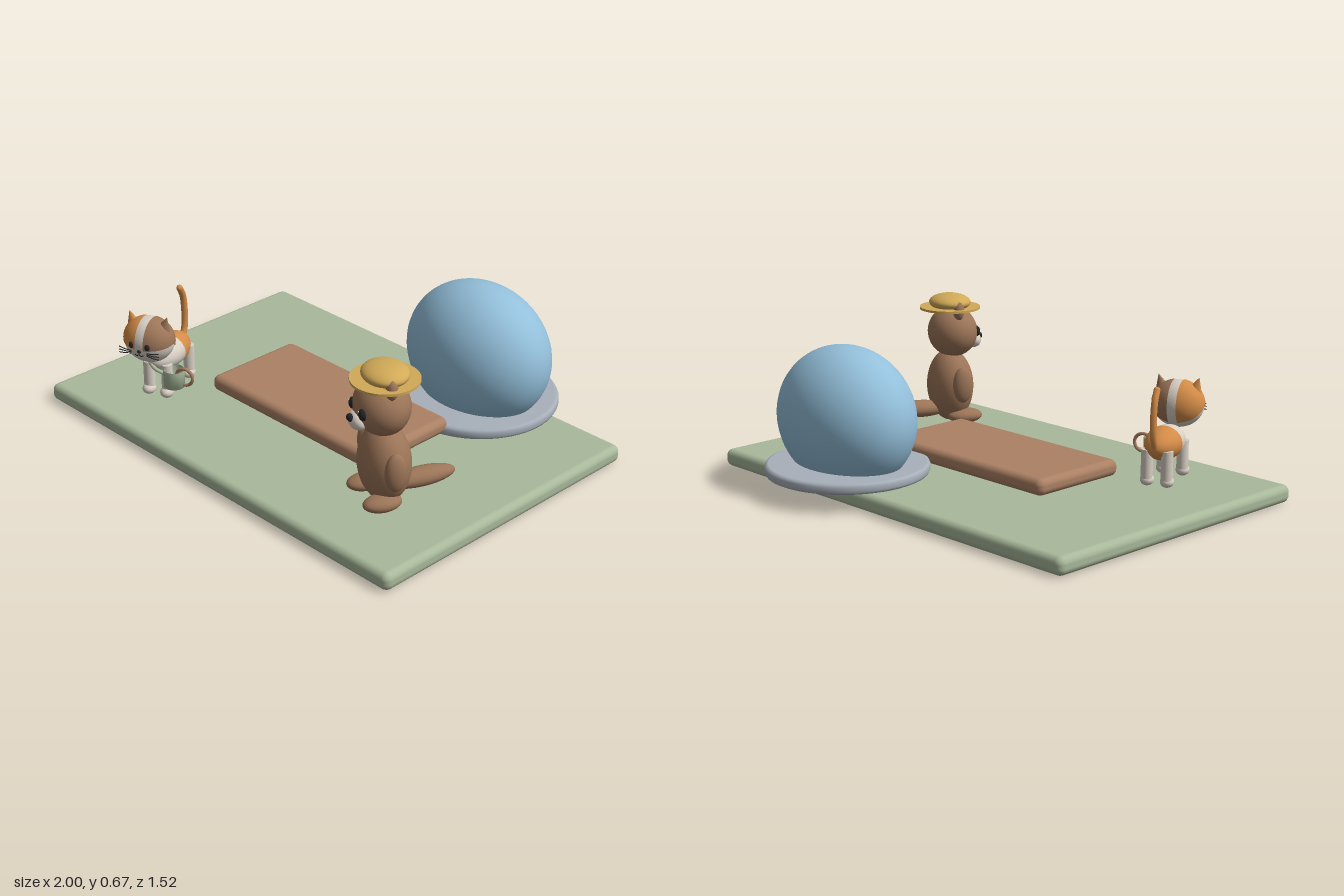
import * as THREE from 'three';
import { RoundedBoxGeometry } from 'three/addons/geometries/RoundedBoxGeometry.js';

const mat = (name, color, side = THREE.FrontSide) => {
  const m = new THREE.MeshStandardMaterial({ color, side });
  m.name = name;
  return m;
};

export function createModel() {
  const M = {
    sage: mat('sage green', 0xa9b99b, THREE.DoubleSide),
    wood: mat('warm wood', 0xab8164),
    fur: mat('brown fur', 0x9c7558),
    stone: mat('grey stone', 0xa8b0ba),
    blue: mat('sky blue', 0x93bfda),
    straw: mat('straw', 0xd2aa58),
    orange: mat('orange fur', 0xd48c48),
    cream: mat('cream fur', 0xd9d0c4),
    black: mat('black', 0x242426),
  };

  const add = (parent, name, geo, material, x = 0, y = 0, z = 0) => {
    const mesh = new THREE.Mesh(geo, material);
    mesh.name = name;
    mesh.position.set(x, y, z);
    parent.add(mesh);
    return mesh;
  };
  const ball = (parent, name, material, [x, y, z], [rx, ry, rz], seg = 32) =>
    add(parent, name, new THREE.SphereGeometry(1, seg, seg * 0.75).scale(rx, ry, rz), material, x, y, z);
  const tube = (parent, name, material, points, r) =>
    add(parent, name, new THREE.TubeGeometry(
      new THREE.CatmullRomCurve3(points.map(p => new THREE.Vector3(...p))), 24, r, 10), material);
  const makeGroup = (parent, name, x, z, turn) => {
    const g = new THREE.Group();
    g.name = name;
    g.position.set(x, 0, z);
    g.rotation.y = turn;
    parent.add(g);
    return g;
  };

  const model = new THREE.Group();
  model.name = 'picnicScene';

  // Ground, low table and domed pedestal
  add(model, 'ground', new RoundedBoxGeometry(2, 0.075, 1.33, 4, 0.03), M.sage, 0, 0.0375, 0.095);
  add(model, 'lowTable', new RoundedBoxGeometry(0.935, 0.07, 0.455, 4, 0.03), M.wood, 0, 0.122, 0.093);
  const rim = [[0, 0], [0.322, 0], [0.333, 0.005], [0.338, 0.015], [0.338, 0.033], [0.333, 0.043], [0.322, 0.048], [0, 0.048]];
  add(model, 'pedestal', new THREE.LatheGeometry(rim.map(p => new THREE.Vector2(...p)), 64), M.stone, 0.352, 0.079, -0.423);
  ball(model, 'dome', M.blue, [0.354, 0.311, -0.422], [0.333, 0.296, 0.247], 48);

  // Standing animal with a straw hat
  const otter = makeGroup(model, 'hattedAnimal', 0.64, 0.412, -0.4);
  ball(otter, 'body', M.fur, [0, 0.257, 0], [0.128, 0.16, 0.1]);
  ball(otter, 'head', M.fur, [0, 0.499, 0.012], [0.125, 0.112, 0.108]);
  const tail = ball(otter, 'tail', M.fur, [0, 0.158, -0.15], [0.046, 0.038, 0.142]);
  tail.rotation.x = 0.03;
  for (const s of [-1, 1]) {
    ball(otter, 'arm', M.fur, [s * 0.137, 0.283, 0.01], [0.03, 0.08, 0.044]);
    ball(otter, 'foot', M.fur, [s * 0.083, 0.13, 0.04], [0.048, 0.033, 0.078]);
    ball(otter, 'ear', M.fur, [s * 0.087, 0.605, 0.01], [0.027, 0.042, 0.024]);
    ball(otter, 'eye', M.black, [s * 0.049, 0.502, 0.106], [0.021, 0.024, 0.017], 20);
    ball(otter, 'eyeGlint', M.cream, [s * 0.049 - 0.008, 0.513, 0.12], [0.004, 0.004, 0.004], 8);
  }
  ball(otter, 'muzzle', M.cream, [0, 0.456, 0.108], [0.052, 0.036, 0.034]);
  ball(otter, 'nose', M.black, [0, 0.471, 0.137], [0.02, 0.015, 0.014], 20);
  add(otter, 'hatBrim', new THREE.CylinderGeometry(0.133, 0.133, 0.01, 48), M.straw, 0, 0.608, 0);
  ball(otter, 'hatCrown', M.straw, [0, 0.632, 0], [0.102, 0.038, 0.09]);

  // Patched cat: body with a coloured rear cap
  const cat = makeGroup(model, 'cat', -0.63, 0.41, 0.38);
  ball(cat, 'body', M.cream, [0, 0.245, 0], [0.073, 0.066, 0.13]);
  add(cat, 'rearPatch', new THREE.SphereGeometry(1, 32, 20, 0, Math.PI * 2, 0, 1.5)
    .rotateX(-Math.PI / 2).scale(0.076, 0.069, 0.133), M.orange, 0, 0.245, 0);
  for (const s of [-1, 1]) for (const z of [-0.095, 0.095]) {
    add(cat, 'leg', new THREE.CylinderGeometry(0.024, 0.024, 0.13, 20), M.cream, s * 0.042, 0.17, z);
    ball(cat, 'paw', M.cream, [s * 0.042, 0.108, z + 0.006], [0.028, 0.024, 0.032], 20);
  }
  tube(cat, 'tail', M.orange,
    [[0, 0.24, -0.115], [0, 0.29, -0.142], [0, 0.37, -0.148], [0, 0.44, -0.138], [0, 0.482, -0.115]], 0.014);
  ball(cat, 'tailTip', M.orange, [0, 0.482, -0.115], [0.014, 0.014, 0.014], 12);

  // Cat head: side patches leave a pale stripe and lower face
  const head = new THREE.Group();
  head.name = 'catHead';
  head.position.set(0, 0.37, 0.15);
  cat.add(head);
  ball(head, 'face', M.cream, [0, 0, 0], [0.108, 0.097, 0.088]);
  const patch = (name, material, start) =>
    add(head, name, new THREE.SphereGeometry(1, 32, 20, -2.3, 4.0, start, 1.4)
      .rotateZ(-Math.PI / 2).scale(0.111, 0.1, 0.091), material);
  patch('leftPatch', M.fur, 0);
  patch('rightPatch', M.orange, Math.PI - 1.4);
  for (const s of [-1, 1]) {
    const ear = add(head, 'ear', new THREE.ConeGeometry(0.032, 0.066, 20).scale(1, 1, 0.65),
      s > 0 ? M.fur : M.orange, s * 0.077, 0.083, 0);
    ear.rotation.z = -s * 0.3;
    ball(head, 'eye', M.black, [s * 0.036, 0.004, 0.084], [0.011, 0.014, 0.01], 16);
    for (const k of [-1, 0, 1])
      tube(head, 'whisker', M.black,
        [[s * 0.035, -0.026 + k * 0.005, 0.088], [s * 0.062, -0.026 + k * 0.009, 0.09], [s * 0.092, -0.025 + k * 0.013, 0.088]], 0.002);
    tube(head, 'mouth', M.black, [[0, -0.03, 0.09], [s * 0.01, -0.038, 0.088], [s * 0.02, -0.033, 0.087]], 0.002);
  }
  ball(head, 'nose', M.black, [0, -0.019, 0.088], [0.009, 0.007, 0.007], 12);

  // Mug with a ring handle, carried on a strap
  const cup = [[0, 0], [0.044, 0], [0.045, 0.075], [0.039, 0.075], [0.038, 0.01], [0, 0.01]];
  add(cat, 'mug', new THREE.LatheGeometry(cup.map(p => new THREE.Vector2(...p)), 32), M.sage, 0.083, 0.15, 0.108);
  add(cat, 'mugHandle', new THREE.TorusGeometry(0.037, 0.007, 10, 32), M.wood, 0.132, 0.2, 0.108);
  tube(cat, 'strap', M.sage, [[-0.02, 0.24, 0.12], [0.01, 0.226, 0.135], [0.05, 0.205, 0.125]], 0.008);

  return model;
}
